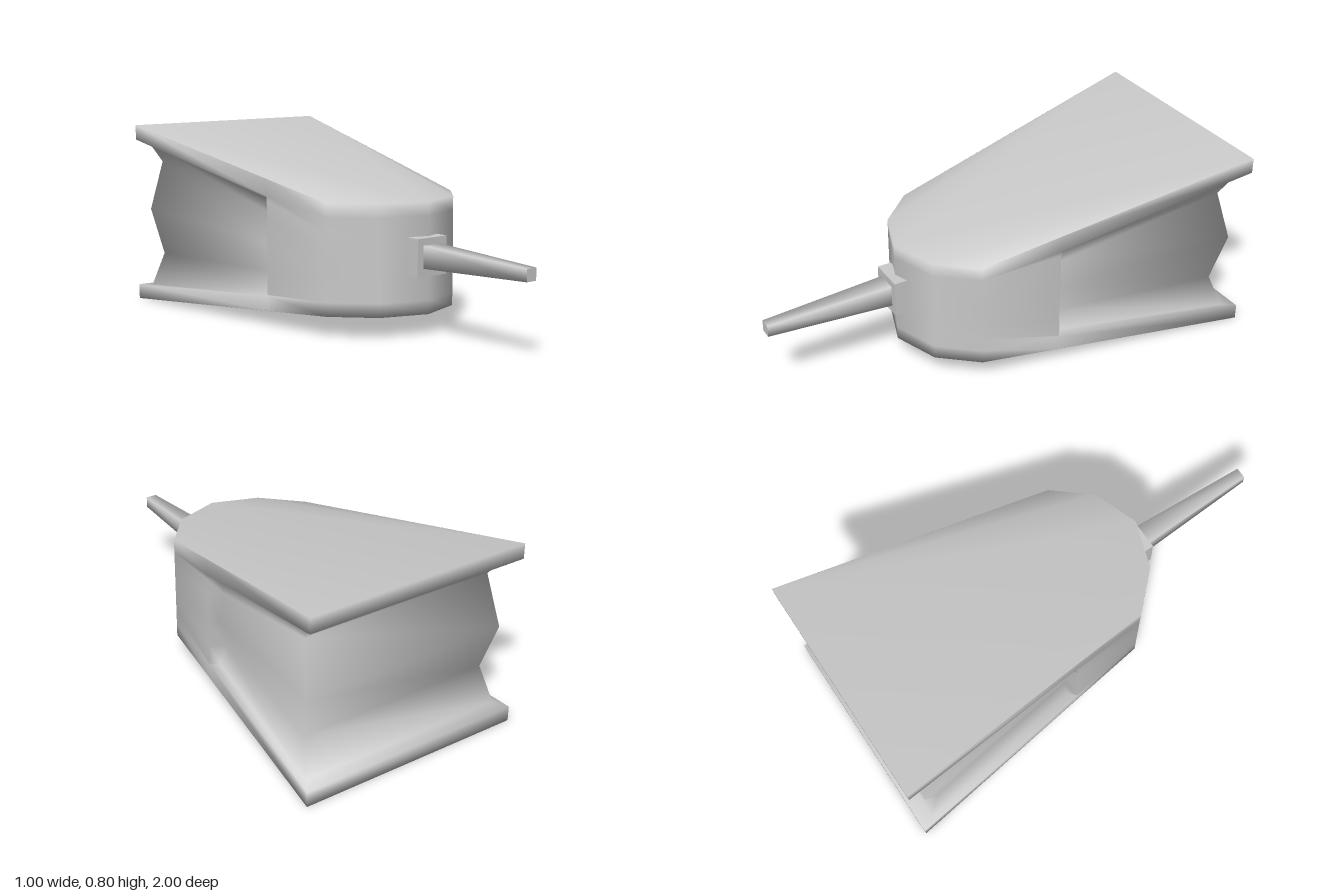
import * as THREE from 'three';
import { mergeVertices } from 'three/addons/utils/BufferGeometryUtils.js';

const lerp = THREE.MathUtils.lerp;
const material = new THREE.MeshStandardMaterial({ color: 0xcccccc });

// Cross-sections from bottom to top:
// height at back corner, height at the shoulder, then for recessed sections
// the back corner x and z and the inset at the shoulder.
const SECTIONS = [
  { back: 0, side: 0.065 },
  { back: 0.065, side: 0.13 },
  { back: 0.07, side: 0.135, x: 0.465, z: -0.94, inset: 0.035 },
  { back: 0.22, side: 0.22, x: 0.435, z: -0.88, inset: 0.06 },
  { back: 0.42, side: 0.34, x: 0.465, z: -0.94, inset: 0.035 },
  { back: 0.64, side: 0.46, x: 0.435, z: -0.88, inset: 0.06 },
  { back: 0.72, side: 0.53, x: 0.465, z: -0.94, inset: 0.035 },
  { back: 0.735, side: 0.55 },
  { back: 0.8, side: 0.621 },
];

// Half of one cross-section, from the back corner to beside the nose
function halfSection(s, sign, frontY) {
  const cheekX = sign > 0 ? 0.33 : 0.35;
  const shoulderX = lerp(cheekX, 0.5, 0.34 / 1.2);
  const recessed = s.inset !== undefined;
  return [
    [recessed ? s.x : 0.5, s.back, recessed ? s.z : -1],
    [shoulderX - (recessed ? s.inset : 0), s.side, recessed ? -0.17 : -0.14],
    [shoulderX, s.side, -0.14],
    [cheekX, frontY, 0.2],
    [0.2, frontY, 0.355],
  ].map(([x, y, z]) => [sign * x, y, z]);
}

function bodyGeometry() {
  const positions = [];
  const index = [];
  const n = 11;
  const last = SECTIONS.length - 1;
  SECTIONS.forEach((s, k) => {
    const frontY = lerp(0.09, 0.55, k / last);
    const ring = [
      ...halfSection(s, 1, frontY),
      [0, frontY, 0.425],
      ...halfSection(s, -1, frontY).reverse(),
    ];
    positions.push(...ring.flat());
  });

  // Walls between sections
  for (let k = 0; k < last; k++) {
    for (let i = 0; i < n; i++) {
      const a = k * n + i;
      const b = k * n + ((i + 1) % n);
      index.push(a, a + n, b + n, a, b + n, b);
    }
  }

  // Bottom and crowned top, fanned from the two back corners
  const fan = [[0, 5, 10]];
  for (let i = 1; i < 5; i++) fan.push([0, i, i + 1]);
  for (let i = 5; i < 9; i++) fan.push([10, i, i + 1]);
  for (const [a, b, c] of fan) {
    index.push(a, b, c);
    index.push(last * n + a, last * n + c, last * n + b);
  }

  const geometry = new THREE.BufferGeometry();
  geometry.setAttribute('position', new THREE.Float32BufferAttribute(positions, 3));
  geometry.setIndex(index);
  const welded = mergeVertices(geometry, 1e-4);
  welded.computeVertexNormals();
  return welded;
}

export function createModel() {
  const group = new THREE.Group();
  const add = (name, geometry, x = 0, y = 0, z = 0) => {
    const mesh = new THREE.Mesh(geometry, material);
    mesh.name = name;
    mesh.position.set(x, y, z);
    group.add(mesh);
    return mesh;
  };

  // Wedge-shaped housing with a recessed band between its flanges
  add('turretBody', bodyGeometry());

  // Square collar on the nose
  add('barrelCollar', new THREE.BoxGeometry(0.156, 0.156, 0.06), -0.014, 0.333, 0.43);

  // Tapered square barrel
  const barrel = new THREE.CylinderGeometry(0.025 * Math.SQRT2, 0.047 * Math.SQRT2, 0.55, 4);
  barrel.rotateY(Math.PI / 4).rotateX(Math.PI / 2);
  add('barrel', barrel, -0.014, 0.335, 0.725);

  return group;
}
